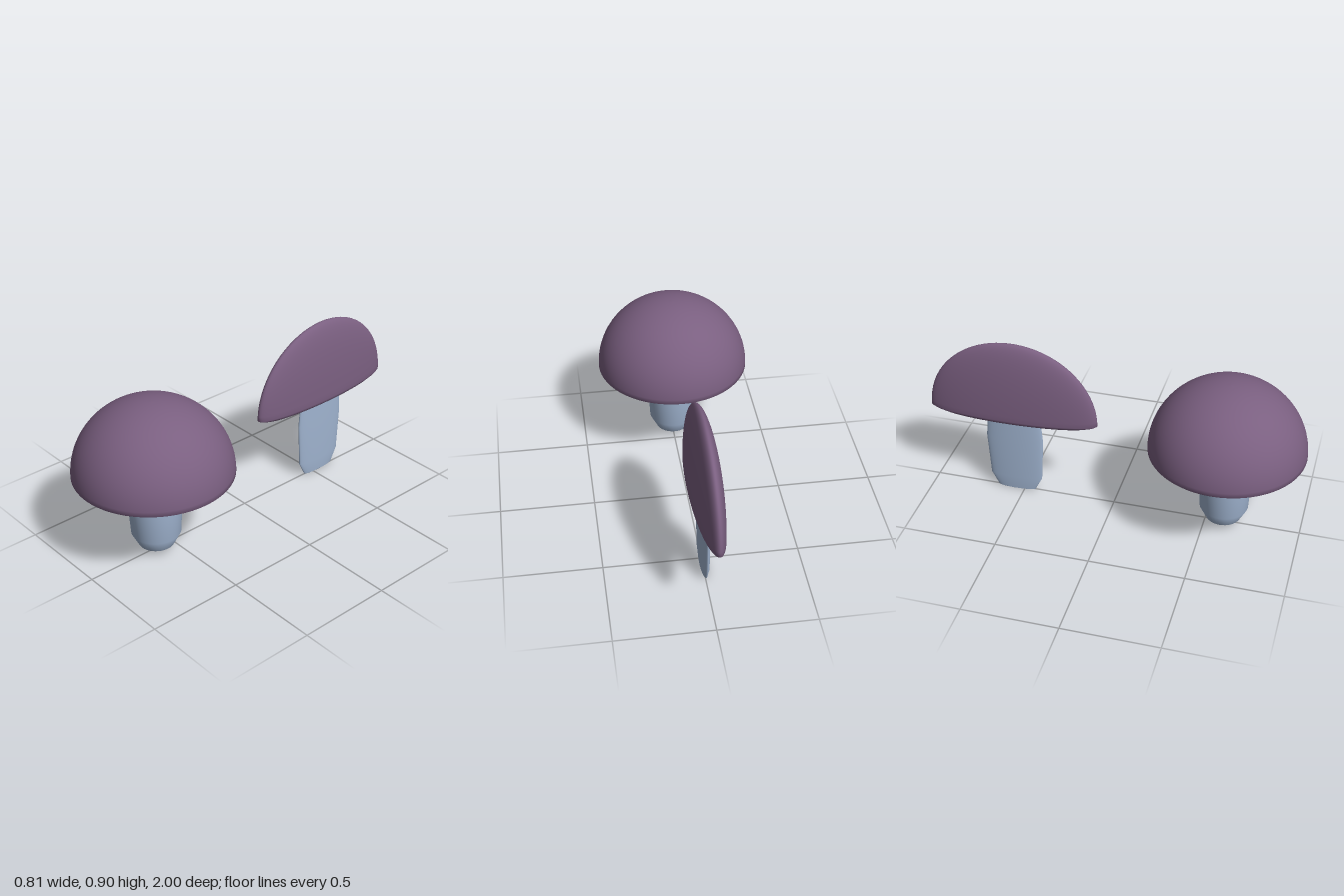
import * as THREE from 'three';

const capMaterial = new THREE.MeshStandardMaterial({ color: 0x7a5f80 });
const stemMaterial = new THREE.MeshStandardMaterial({ color: 0xa0b4d0 });

function lathe(name, profile, material, segments) {
  const points = profile.map(([r, y]) => new THREE.Vector2(r, y));
  const mesh = new THREE.Mesh(new THREE.LatheGeometry(points, segments), material);
  mesh.name = name;
  return mesh;
}

// A mushroom standing on its own y = 0
function mushroom(name) {
  const group = new THREE.Group();
  group.name = name;

  // Cap: gently rounded underside, then an elliptical dome
  const cap = [[0, 0.397], [0.14, 0.397], [0.25, 0.4], [0.36, 0.407], [0.39, 0.416]];
  const steps = 24;
  for (let i = 0; i <= steps; i++) {
    const a = (i / steps) * Math.PI / 2;
    cap.push([i === steps ? 0 : 0.405 * Math.cos(a), 0.425 + 0.385 * Math.sin(a)]);
  }
  group.add(lathe('cap', cap, capMaterial, 64));

  // Stem: slight belly and a tapered foot with a closed base
  const stem = [[0, 0], [0.088, 0], [0.092, 0.001], [0.127, 0.07], [0.139, 0.285], [0.13, 0.41]];
  group.add(lathe('stem', stem, stemMaterial, 40));
  return group;
}

export function createModel() {
  const model = new THREE.Group();
  model.name = 'mushrooms';

  const round = mushroom('roundMushroom');
  round.position.set(0, 0.04, 0.595);

  // The rear mushroom is pressed thin from side to side
  const flat = mushroom('flatMushroom');
  flat.position.set(-0.002, 0, -0.545);
  flat.scale.set(0.186, 1.117, 1.124);
  flat.rotation.y = 0.016;

  model.add(round, flat);
  return model;
}
